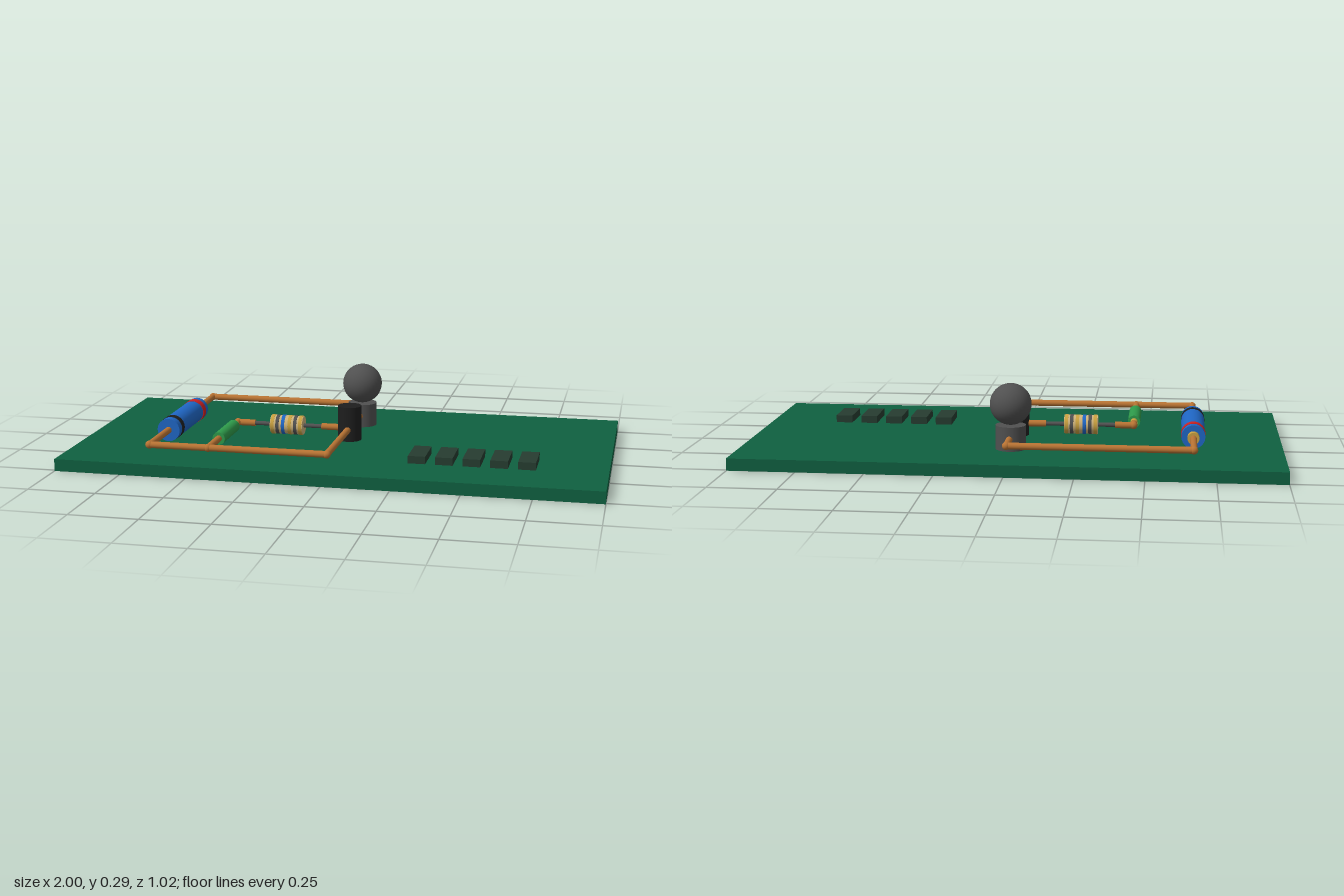
import * as THREE from 'three';

const mat = (name, color) => {
  const m = new THREE.MeshStandardMaterial({ color });
  m.name = name;
  return m;
};

export function createModel() {
  const model = new THREE.Group();
  model.name = 'circuitBoard';
  const board = mat('board green', 0x0f6040);
  const copper = mat('copper', 0xb87333);
  const blue = mat('blue', 0x1f66c4);
  const red = mat('red', 0xcc2222);
  const black = mat('black', 0x1e1e1e);
  const grey = mat('dark grey', 0x505050);
  const green = mat('light green', 0x2e9a4a);
  const gold = mat('gold', 0xc8a040);
  const tan = mat('tan', 0xcdb27a);
  const chip = mat('chip green', 0x263c30);

  const top = 0.045; // board surface
  const wireY = 0.09;

  const add = (name, geometry, material, x, y, z) => {
    const mesh = new THREE.Mesh(geometry, material);
    mesh.name = name;
    mesh.position.set(x, y, z);
    model.add(mesh);
    return mesh;
  };
  // Rods lying along x or z at wire height
  const rodX = (name, r, x0, x1, z, material) => {
    add(name, new THREE.CylinderGeometry(r, r, x1 - x0, 24), material, (x0 + x1) / 2, wireY, z).rotation.z = Math.PI / 2;
  };
  const rodZ = (name, r, x, z0, z1, material) => {
    add(name, new THREE.CylinderGeometry(r, r, z1 - z0, 24), material, x, wireY, (z0 + z1) / 2).rotation.x = Math.PI / 2;
  };
  const post = (name, r, y1, z, material) =>
    add(name, new THREE.CylinderGeometry(r, r, y1 - top, 32), material, 0, (top + y1) / 2, z);

  add('board', new THREE.BoxGeometry(2, top, 1.02), board, 0, top / 2, 0);

  // Copper loop and branch
  const w = 0.0125, left = -0.67, branch = -0.445, edge = 0.4;
  rodX('frontWire', w, left, 0, edge, copper);
  rodX('backWire', w, left, 0, -edge, copper);
  rodZ('centreWire', w, 0, -edge, edge, copper);
  rodZ('sideWireFront', w, left, 0.17, edge, copper);
  rodZ('sideWireBack', w, left, -edge, -0.2, copper);
  rodZ('branchWireFront', w, branch, 0.26, edge, copper);
  rodZ('branchWireBack', w, branch, 0, 0.04, copper);
  rodX('branchWireLeft', w, branch, -0.375, 0, copper);
  rodX('branchWireRight', w, -0.11, 0, 0, copper);
  for (const [x, z] of [[left, edge], [left, -edge], [0, edge], [0, -edge], [branch, 0], [branch, edge]])
    add('wireJoint', new THREE.SphereGeometry(0.015, 16, 12), copper, x, wireY, z);

  // Battery with two bands and a gold terminal
  rodZ('batteryBody', 0.044, left, -0.185, 0.18, blue);
  rodZ('batteryRedBand', 0.0455, left, -0.155, -0.12, red);
  rodZ('batteryBlackBand', 0.0455, left, 0.12, 0.148, black);
  rodZ('batteryTerminal', 0.022, left, -0.213, -0.185, gold);

  // Green component on the branch
  rodZ('greenBody', 0.024, branch, 0.065, 0.265, green);
  rodZ('greenTerminal', 0.014, branch, 0.035, 0.065, gold);

  // Resistor with coloured bands
  rodX('resistorLead', 0.008, -0.38, -0.1, 0, grey);
  rodX('resistorBody', 0.036, -0.309, -0.181, 0, tan);
  [[-0.3, gold], [-0.28, grey], [-0.258, blue], [-0.232, gold], [-0.21, grey], [-0.19, gold]].forEach(([x, m]) =>
    rodX('resistorBand', 0.0375, x - 0.0065, x + 0.0065, 0, m));

  // Switch post, lamp socket and lamp
  post('switchPost', 0.045, 0.178, 0, black);
  post('lampSocket', 0.056, 0.135, -0.245, grey);
  add('lamp', new THREE.SphereGeometry(0.077, 32, 24), grey, 0, 0.213, -0.245);

  // Row of chips
  for (let i = 0; i < 5; i++)
    add('chip', new THREE.BoxGeometry(0.064, 0.028, 0.15), chip, 0.31 + i * 0.1, top + 0.014, 0.222);

  return model;
}
